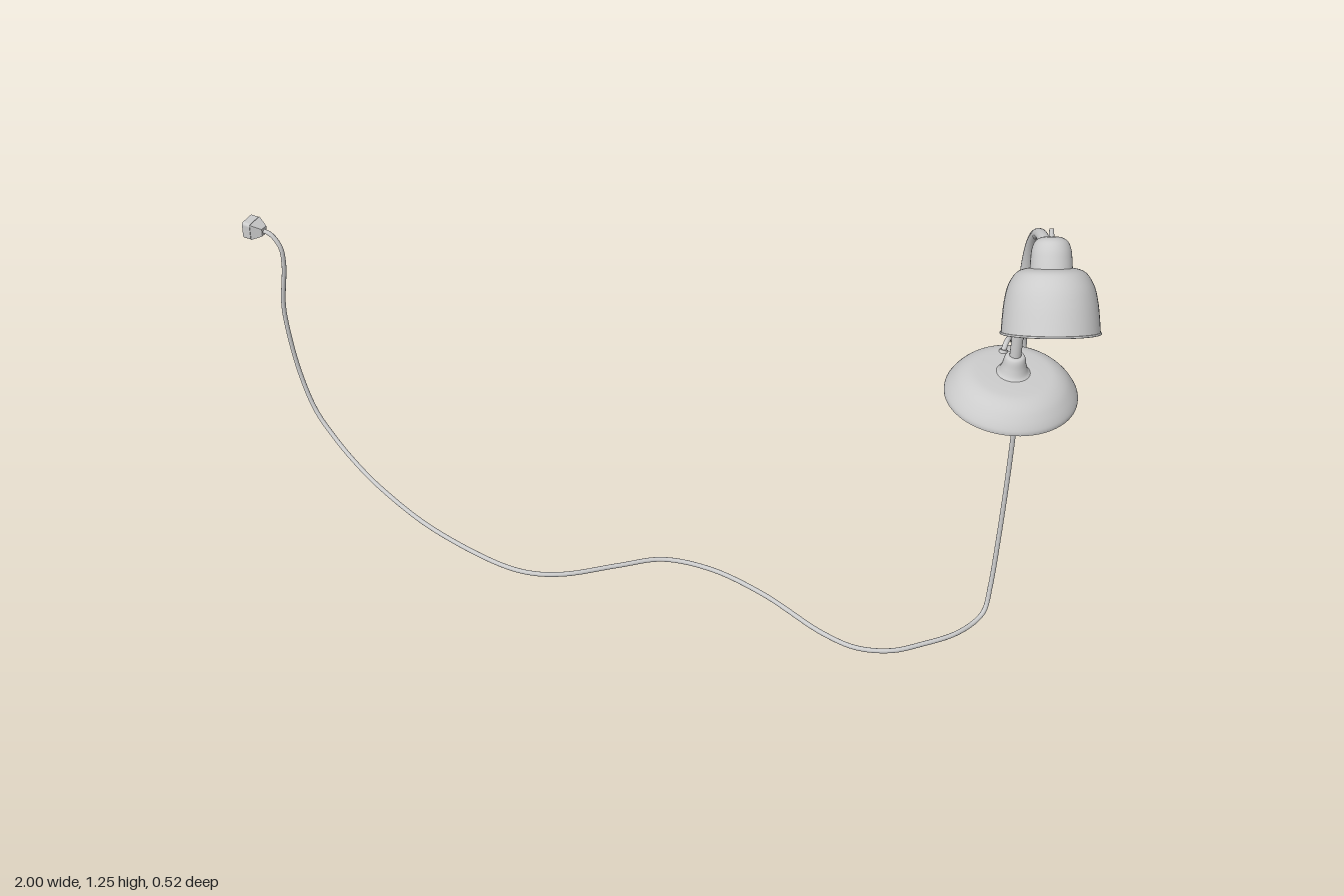
import * as THREE from 'three';

const material = new THREE.MeshStandardMaterial({ color: 0xcccccc });
const openMaterial = new THREE.MeshStandardMaterial({ color: 0xcccccc, side: THREE.DoubleSide });

function add(parent, name, geometry, mat = material) {
  const mesh = new THREE.Mesh(geometry, mat);
  mesh.name = name;
  parent.add(mesh);
  return mesh;
}

// Smooth lathe through a few [radius, height] points, listed bottom to top
function turned(points, segments = 48, steps = 28) {
  const curve = new THREE.SplineCurve(points.map(p => new THREE.Vector2(...p)));
  const profile = curve.getPoints(steps).map(p => p.setX(Math.max(p.x, 0)));
  return new THREE.LatheGeometry(profile, segments);
}

// Base, stem and tilted head, built facing +z
function createLamp() {
  const lamp = new THREE.Group();
  lamp.name = 'lamp';

  add(lamp, 'base', turned([
    [0.127, 0.752], [0.126, 0.761], [0.117, 0.776], [0.102, 0.792],
    [0.083, 0.802], [0.06, 0.805], [0.02, 0.806],
  ], 64));
  const underside = add(lamp, 'baseUnderside', new THREE.CircleGeometry(0.127, 64));
  underside.rotation.x = Math.PI / 2;
  underside.position.y = 0.752;
  add(lamp, 'stemCollar', turned([
    [0.036, 0.803], [0.028, 0.81], [0.023, 0.824], [0.02, 0.839], [0.016, 0.845], [0.008, 0.846],
  ], 32));

  // Gooseneck stem
  const v = (y, z) => new THREE.Vector3(0, y, z);
  const path = new THREE.CurvePath();
  path.add(new THREE.LineCurve3(v(0.83, 0), v(1.02, 0)));
  path.add(new THREE.CubicBezierCurve3(v(1.02, 0), v(1.13, 0), v(1.205, 0.06), v(1.193, 0.18)));
  add(lamp, 'stem', new THREE.TubeGeometry(path, 64, 0.011, 20));

  // Head: its own y axis runs up through the socket cap
  const head = new THREE.Group();
  head.name = 'head';
  head.position.set(0, 1.238, 0.163);
  head.rotation.x = -0.55;
  lamp.add(head);

  add(head, 'socketCap', turned([
    [0.037, -0.064], [0.036, -0.045], [0.034, -0.027], [0.028, -0.013], [0.016, -0.006], [0, -0.005],
  ], 40));
  add(head, 'shade', turned([
    [0.086, -0.173], [0.084, -0.145], [0.081, -0.118], [0.075, -0.092],
    [0.064, -0.072], [0.052, -0.063], [0.034, -0.059],
  ], 56), openMaterial);
  const rim = add(head, 'shadeRim', new THREE.TorusGeometry(0.086, 0.002, 8, 56));
  rim.rotation.x = Math.PI / 2;
  rim.position.y = -0.173;

  add(head, 'bulb', turned([
    [0, -0.168], [0.018, -0.163], [0.031, -0.148], [0.032, -0.132],
    [0.024, -0.111], [0.015, -0.095], [0.014, -0.06],
  ], 32));

  // Small switch on top of the cap
  const stub = add(head, 'switchStub', new THREE.CylinderGeometry(0.004, 0.005, 0.02, 14));
  stub.position.y = -0.001;
  return lamp;
}

// Plug: rounded square body that tapers into the cord
function createPlug() {
  const plug = new THREE.Group();
  plug.name = 'plug';
  const h = 0.021, r = 0.007;
  const outline = new THREE.Shape();
  for (let i = 0; i < 4; i++) {
    const a = i * Math.PI / 2;
    const cx = (i === 0 || i === 3 ? 1 : -1) * (h - r);
    const cy = (i < 2 ? 1 : -1) * (h - r);
    outline.absarc(cx, cy, r, a, a + Math.PI / 2, false);
  }
  const body = new THREE.ExtrudeGeometry(outline, { depth: 0.02, bevelEnabled: false, curveSegments: 5 });
  body.rotateY(Math.PI / 2);
  add(plug, 'plugBody', body);
  const taper = new THREE.CylinderGeometry(0.013, 0.028, 0.024, 4, 1);
  taper.rotateY(Math.PI / 4);
  taper.rotateZ(-Math.PI / 2);
  taper.translate(0.032, 0, 0);
  add(plug, 'plugTaper', taper.toNonIndexed()).geometry.computeVertexNormals();
  plug.position.set(-1, 0.558, -0.086);
  return plug;
}

export function createModel() {
  const model = new THREE.Group();
  model.name = 'deskLamp';

  const lamp = createLamp();
  lamp.position.set(0.795, -0.002, -0.044);
  lamp.rotation.y = 0.48;
  model.add(lamp);

  // Cord: out of the base, over the table edge and down
  const drop = [
    [0.756, 0.795, -0.094], [0.756, 0.811, -0.106], [0.756, 0.815, -0.122], [0.756, 0.796, -0.15],
    [0.756, 0.758, -0.182], [0.756, 0.751, -0.205], [0.756, 0.751, -0.234], [0.756, 0.736, -0.243],
    [0.756, 0.54, -0.251], [0.756, 0.375, -0.251], [0.756, 0.21, -0.241], [0.756, 0.078, -0.223],
    [0.755, 0.026, -0.203], [0.747, 0.015, -0.175],
  ];
  // Winding along the floor, as [x, z]
  const floor = [
    [0.72, -0.117], [0.67, -0.06], [0.617, -0.012], [0.548, 0.012], [0.468, 0.003], [0.297, -0.055],
    [0.163, -0.075], [0.056, -0.056], [-0.024, 0.007], [-0.115, 0.083], [-0.18, 0.113],
    [-0.255, 0.12], [-0.452, 0.085], [-0.62, 0.022],
  ].map(([x, z]) => [x, 0.0055 + 0.008 * Math.max(0, x - 0.3) / 0.42, z]);
  // Up to the plug
  const rise = [
    [-0.71, 0.01, -0.02], [-0.794, 0.031, -0.058], [-0.858, 0.083, -0.077], [-0.9, 0.178, -0.086],
    [-0.922, 0.307, -0.086], [-0.925, 0.366, -0.086], [-0.912, 0.484, -0.086],
    [-0.917, 0.527, -0.086], [-0.94, 0.554, -0.086], [-0.968, 0.558, -0.086],
  ];
  const points = [...drop, ...floor, ...rise].map(p => new THREE.Vector3(...p));
  const cordPath = new THREE.CatmullRomCurve3(points, false, 'centripetal');
  cordPath.arcLengthDivisions = 1000;
  add(model, 'cord', new THREE.TubeGeometry(cordPath, 500, 0.0052, 12));

  // Grommet where the cord leaves the base
  const grommet = add(model, 'cordGrommet', new THREE.CylinderGeometry(0.008, 0.01, 0.014, 16));
  grommet.position.set(0.756, 0.799, -0.097);
  grommet.rotation.x = -0.4;

  model.add(createPlug());
  return model;
}
